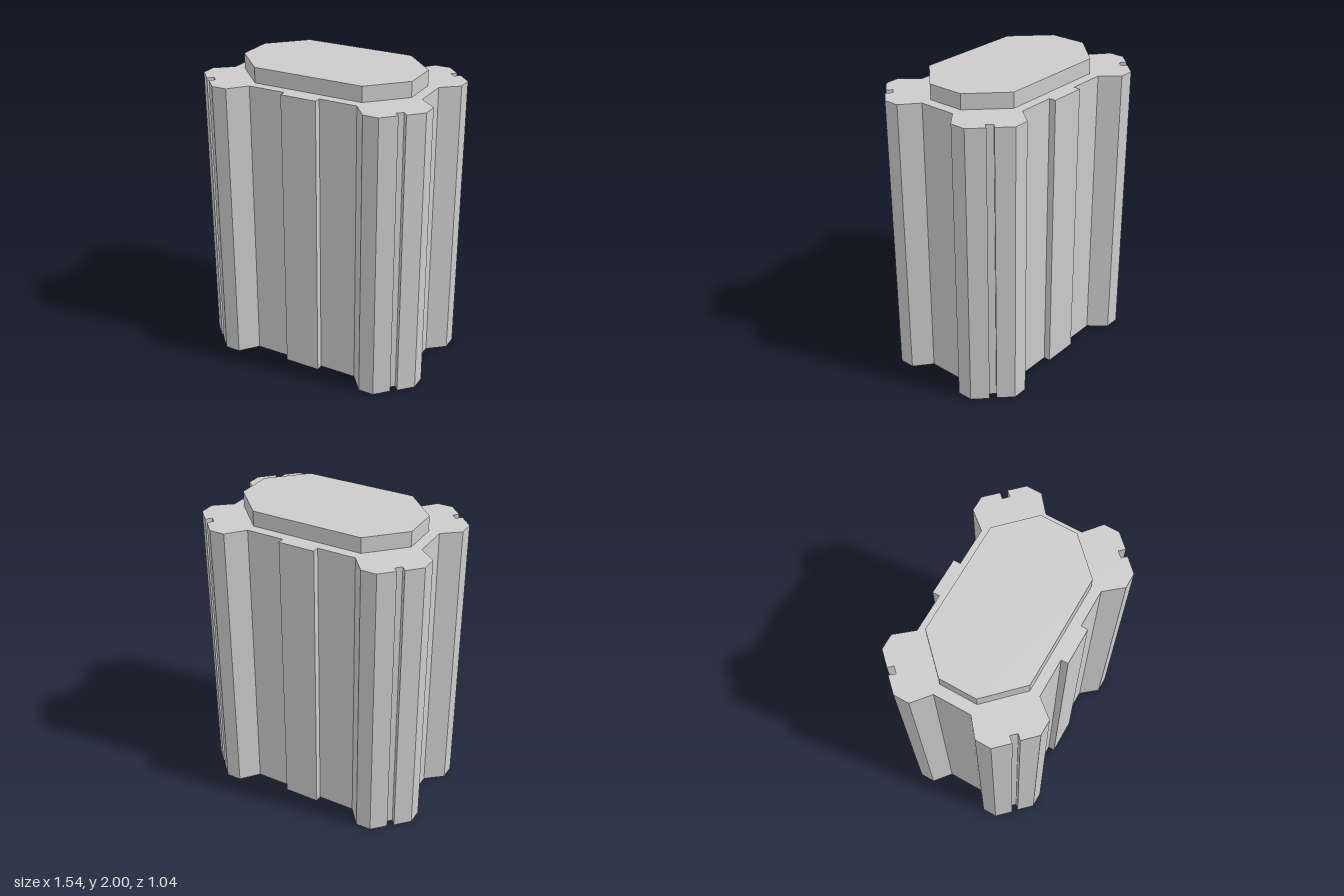
import * as THREE from 'three';

const BODY_TOP = 1.9;
const LID_TOP = 2;

// Quarter outlines as [x, z], running from the front (+z) round to the side (+x)
const BODY_QUARTER = [
  [0.12, 0.45], [0.12, 0.405], [0.37, 0.405], [0.465, 0.52], [0.567, 0.52],
  [0.65, 0.435], [0.62, 0.405], [0.655, 0.37], [0.685, 0.405],
  [0.77, 0.317], [0.77, 0.215], [0.657, 0.122],
];
const LID_QUARTER = [[0.37, 0.34], [0.587, 0.122]];

// Mirror a quarter into a full closed loop
function fullLoop(quarter) {
  const mirror = (sx, sz) => quarter.map(([x, z]) => [x * sx, z * sz]);
  return [
    ...mirror(1, 1), ...mirror(1, -1).reverse(),
    ...mirror(-1, -1), ...mirror(-1, 1).reverse(),
  ];
}

// Vertical faceted wall following a loop
function wallGeometry(loop, y0, y1) {
  const positions = [];
  loop.forEach(([ax, az], i) => {
    const [bx, bz] = loop[(i + 1) % loop.length];
    positions.push(ax, y0, az, bx, y0, bz, bx, y1, bz);
    positions.push(ax, y0, az, bx, y1, bz, ax, y1, az);
  });
  const geometry = new THREE.BufferGeometry();
  geometry.setAttribute('position', new THREE.Float32BufferAttribute(positions, 3));
  geometry.computeVertexNormals();
  return geometry;
}

// Flat horizontal cap, optionally with an opening
function capGeometry(loop, y, holeLoop) {
  const points = (l) => l.map(([x, z]) => new THREE.Vector2(x, -z));
  const shape = new THREE.Shape(points(loop));
  if (holeLoop) shape.holes.push(new THREE.Path(points(holeLoop)));
  return new THREE.ShapeGeometry(shape).rotateX(-Math.PI / 2).translate(0, y, 0);
}

export function createModel() {
  const group = new THREE.Group();
  const material = new THREE.MeshStandardMaterial({
    color: 0xcccccc, flatShading: true, side: THREE.DoubleSide,
  });
  const add = (name, geometry) => {
    const mesh = new THREE.Mesh(geometry, material);
    mesh.name = name;
    group.add(mesh);
  };

  const body = fullLoop(BODY_QUARTER);
  const lid = fullLoop(LID_QUARTER);

  // Thin shell, open underneath, with notched corner lobes
  add('bodyWall', wallGeometry(body, 0, BODY_TOP));
  add('shoulder', capGeometry(body, BODY_TOP, lid));

  // Raised octagonal top
  add('lidWall', wallGeometry(lid, BODY_TOP, LID_TOP));
  add('lidTop', capGeometry(lid, LID_TOP));

  return group;
}
